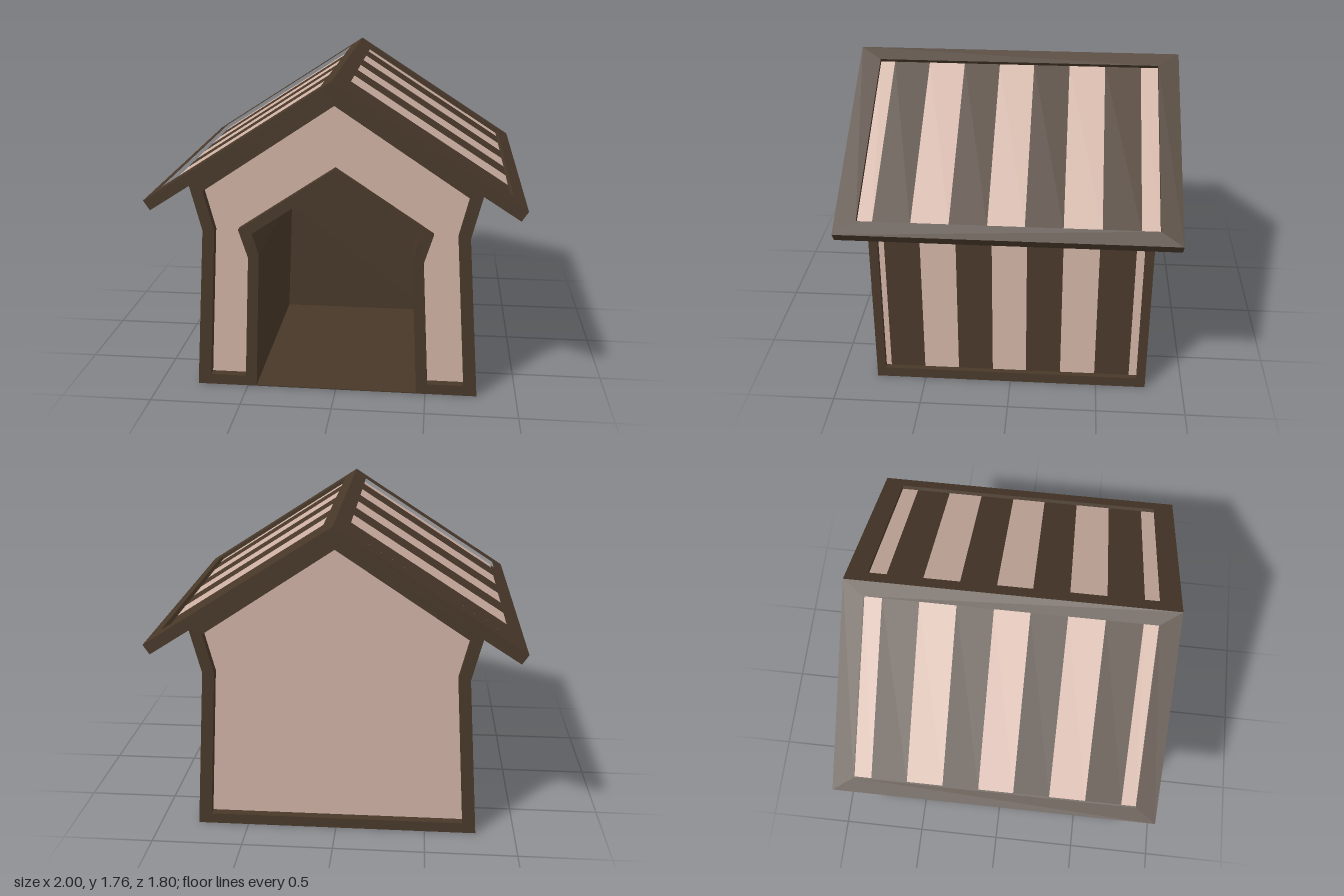
import * as THREE from 'three';

const brown = new THREE.MeshStandardMaterial({ color: 0x483829 });
const pink = new THREE.MeshStandardMaterial({ color: 0xcfb1a4 });

// Stripe boundaries along z, starting and ending with a light stripe
const STRIPES = [-0.785, -0.69, -0.49, -0.29, -0.09, 0.105, 0.305, 0.505, 0.705, 0.785];

const toVectors = (pts) => pts.map(([x, y]) => new THREE.Vector2(x, y));
// Closes a right-hand half profile with its mirror image
const mirrored = (half) => [...half, ...half.filter(([x]) => x !== 0).reverse().map(([x, y]) => [-x, y])];

// Extrudes a polygon, with optional holes, from z0 to z1
function slab(name, material, pts, z0, z1, holes = []) {
  const shape = new THREE.Shape(toVectors(pts));
  holes.forEach((h) => shape.holes.push(new THREE.Path(toVectors(h))));
  const geo = new THREE.ExtrudeGeometry(shape, { depth: z1 - z0, bevelEnabled: false });
  geo.translate(0, 0, z0);
  const mesh = new THREE.Mesh(geo, material);
  mesh.name = name;
  return mesh;
}

function box(name, material, [x0, x1], [y0, y1], [z0, z1]) {
  const mesh = new THREE.Mesh(new THREE.BoxGeometry(Math.abs(x1 - x0), y1 - y0, z1 - z0), material);
  mesh.position.set((x0 + x1) / 2, (y0 + y1) / 2, (z0 + z1) / 2);
  mesh.name = name;
  return mesh;
}

// Calls fn for each stripe, clipped to +-limit
function eachStripe(limit, fn) {
  for (let i = 0; i < STRIPES.length - 1; i++) {
    const z0 = Math.max(STRIPES[i], -limit);
    const z1 = Math.min(STRIPES[i + 1], limit);
    fn(i % 2 ? brown : pink, z0, z1);
  }
}

// Half profiles, from the bottom to the middle
const OUTLINE = [[0.785, 0], [0.72, 0.92], [0.785, 1.18], [0, 1.69]];
const PANEL = [[0.71, 0.06], [0.655, 0.92], [0.71, 1.14], [0, 1.615]];
const DOOR_OUTER = [[0.51, 0.06], [0.475, 0.77], [0.525, 0.93], [0, 1.28]];
const DOOR_INNER = [[0.45, 0], [0.415, 0.79], [0.45, 0.91], [0, 1.21]];

// A profile with a doorway cut up into it from below
const withDoorway = (half, door) => [...mirrored(half), ...mirrored(door).reverse()];

const Z = 0.785; // half depth of the body
const T = 0.05; // thickness of the end frames

function createBody() {
  const body = new THREE.Group();
  body.name = 'body';

  // End frames with recessed light panels
  const frontPanel = withDoorway(PANEL, DOOR_OUTER);
  body.add(
    slab('frontFrame', brown, withDoorway(OUTLINE, DOOR_INNER), Z - T, Z, [frontPanel]),
    slab('frontPanel', pink, frontPanel, Z - T - 0.03, Z - T + 0.003),
    slab('backFrame', brown, mirrored(OUTLINE), -Z, -Z + T, [mirrored(PANEL)]),
    slab('backPanel', pink, mirrored(PANEL), -Z + T - 0.003, -Z + T + 0.03),
  );

  // Hollow interior behind the doorway
  const lining = withDoorway([[0.51, 0], ...DOOR_OUTER.slice(1)], DOOR_INNER);
  body.add(
    slab('interiorLining', brown, lining, -0.36, Z - T),
    slab('interiorBackWall', brown, mirrored(DOOR_OUTER.map(([x, y]) => [x, y < 0.1 ? 0 : y])), -0.4, -0.36),
    box('floor', brown, [-0.784, 0.784], [0, 0.006], [-Z, Z]),
  );

  // Striped, kinked side walls with a rail at the foot
  for (const s of [1, -1]) {
    const flip = (pts) => pts.map(([x, y]) => [s * x, y]);
    const wall = flip([[0.755, 0.01], [0.692, 0.92], [0.757, 1.19], [0.7, 1.2], [0.64, 0.92], [0.7, 0.01]]);
    eachStripe(Z - T, (mat, z0, z1) => body.add(slab('sideWallStripe', mat, wall, z0, z1)));
    const rail = flip([[0.785, 0], [0.781, 0.06], [0.7, 0.06], [0.7, 0]]);
    body.add(slab('sideRail', brown, rail, -Z + T, Z - T));
  }
  return body;
}

// One roof slope, built flat from the ridge outwards and then tilted
function createRoofSlope(s) {
  const slope = new THREE.Group();
  slope.name = s > 0 ? 'leftRoof' : 'rightRoof';
  const length = Math.hypot(1, 0.645);
  const inner = 0.083, outer = 1.107, depth = 0.9;
  const rect = (x0, x1, z) => [[s * x0, -z], [s * x1, -z], [s * x1, z], [s * x0, z]];

  const frame = slab('roofFrame', brown, rect(0, length, depth), -0.045, 0, [rect(inner, outer, Z)]);
  frame.rotation.x = -Math.PI / 2;
  slope.add(frame, box('roofUnderside', brown, [0, s * length], [-0.063, -0.045], [-depth, depth]));
  eachStripe(Z, (mat, z0, z1) =>
    slope.add(box('roofStripe', mat, [s * inner, s * outer], [-0.045, -0.022], [z0, z1])));

  slope.position.y = 1.76;
  slope.rotation.z = -s * Math.atan(0.645);
  return slope;
}

export function createModel() {
  const model = new THREE.Group();
  model.name = 'petHouse';
  model.add(createBody(), createRoofSlope(1), createRoofSlope(-1));
  return model;
}
